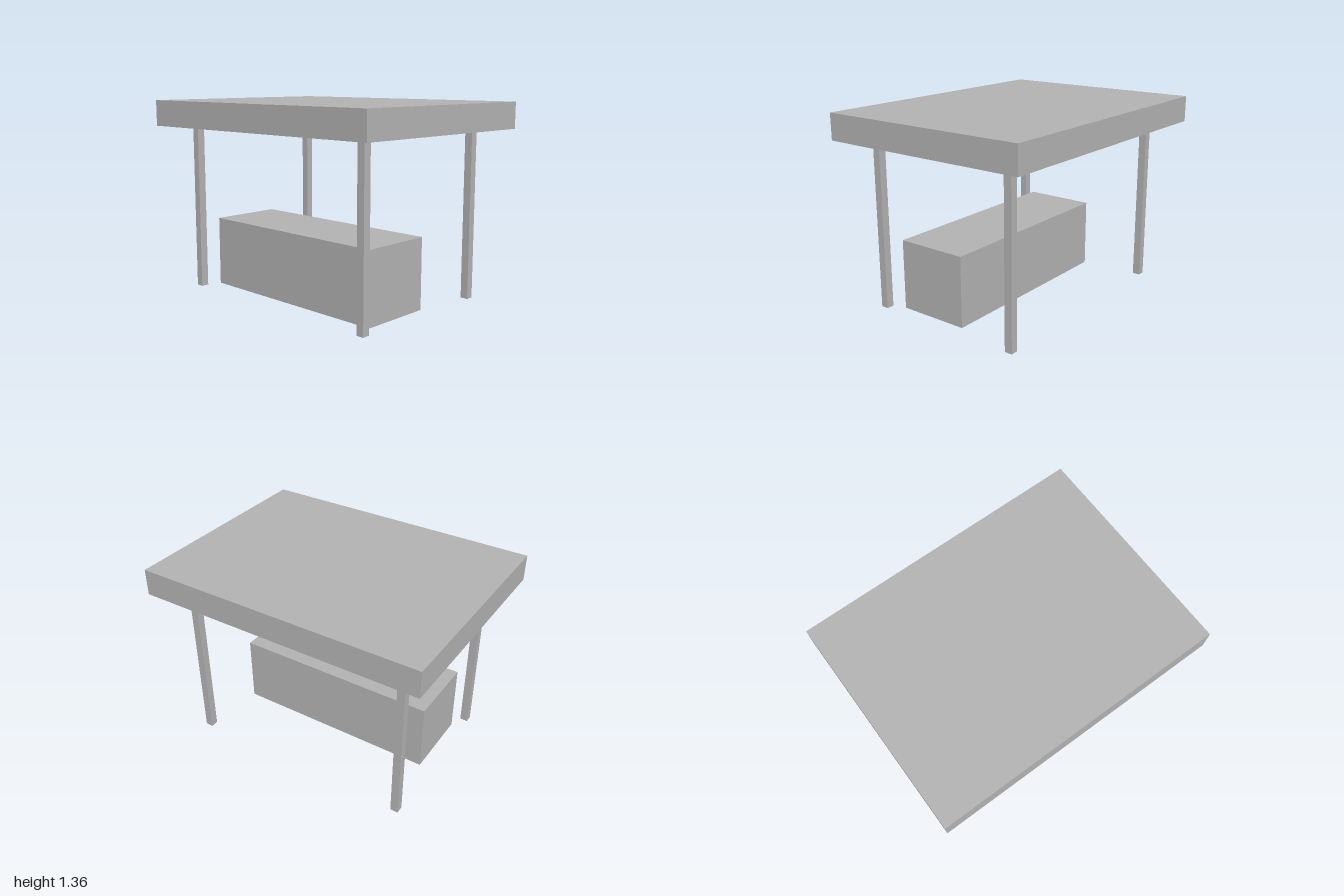
import * as THREE from 'three';

export function createModel() {
  const model = new THREE.Group();
  model.name = 'stall';

  const grey = new THREE.MeshStandardMaterial({ color: 0xb2b2b2 });
  grey.name = 'grey';

  // Box standing on height y
  function addBox(name, w, h, d, x, y, z) {
    const mesh = new THREE.Mesh(new THREE.BoxGeometry(w, h, d), grey);
    mesh.name = name;
    mesh.position.set(x, y + h / 2, z);
    model.add(mesh);
  }

  const postHeight = 1.175;

  // Flat roof slab
  addBox('roof', 2, 0.182, 1.506, 0, postHeight, 0);

  // Four square posts
  for (const x of [-1, 1]) {
    for (const z of [-1, 1]) {
      const name = (z > 0 ? 'front' : 'back') + (x > 0 ? 'Left' : 'Right') + 'Post';
      addBox(name, 0.054, postHeight, 0.054, x * 0.793, 0, z * 0.541);
    }
  }

  // Counter block, set towards the front
  addBox('counter', 1.475, 0.493, 0.514, 0, 0, 0.163);

  return model;
}
